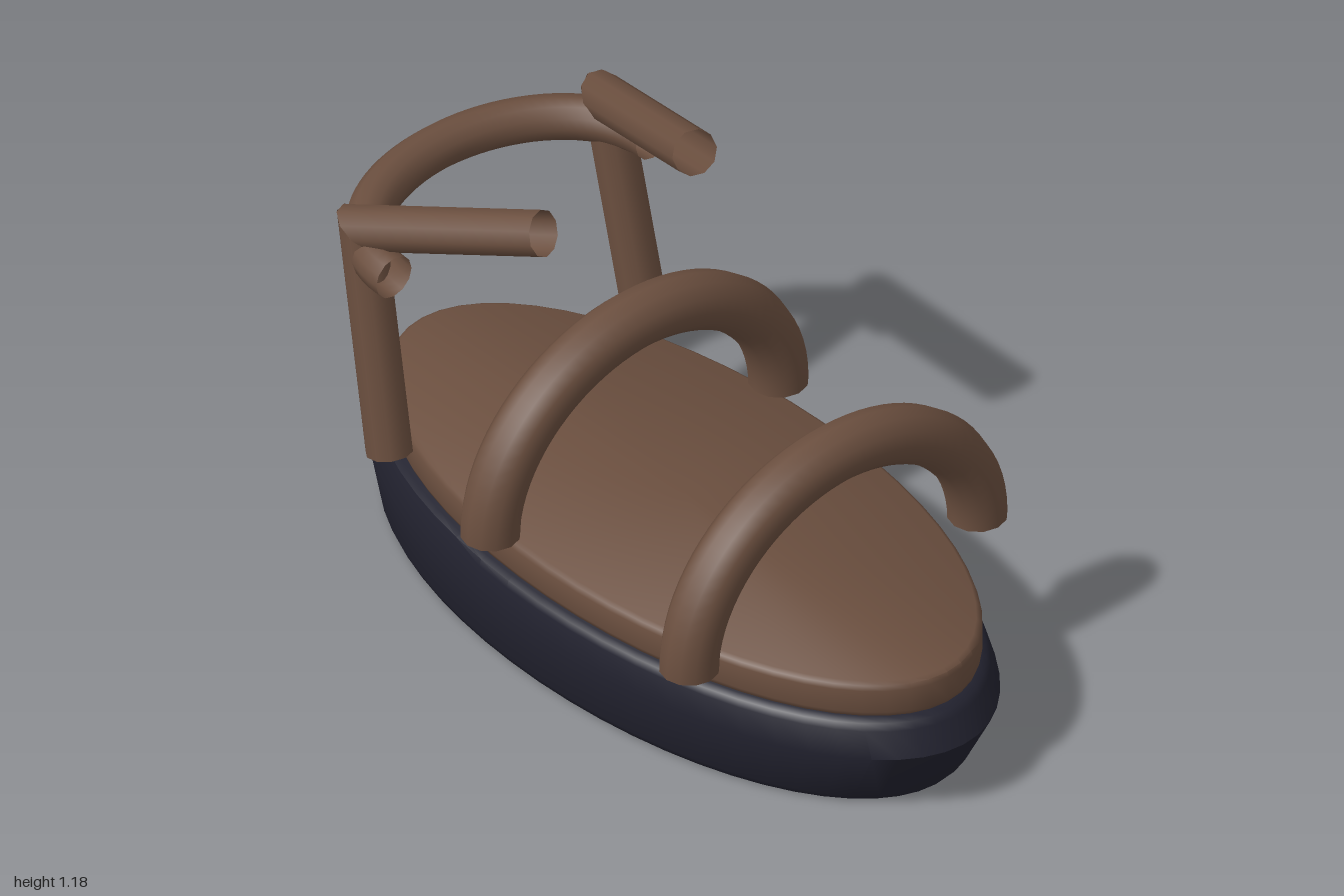
import * as THREE from 'three';
import { toCreasedNormals } from 'three/addons/utils/BufferGeometryUtils.js';

const V = (x, y, z) => new THREE.Vector3(x, y, z);

// Elliptical slab from cross-sections [y, half width, front z, back z]
function ellipseLoft(sections) {
  const first = sections[0], last = sections[sections.length - 1];
  const rings = [[first[0], 0, first[2], first[3]], ...sections, [last[0], 0, last[2], last[3]]];
  const geo = new THREE.LatheGeometry(rings.map(([y, r]) => new THREE.Vector2(r, y)), 56);
  const pos = geo.attributes.position;
  for (let i = 0; i < pos.count; i++) {
    const [, r, front, back] = rings[i % rings.length];
    const unit = r > 0 ? pos.getZ(i) / r : 0;
    pos.setZ(i, (front + back) / 2 + unit * (front - back) / 2);
  }
  return toCreasedNormals(geo, 0.75);
}

// Open tube following half an ellipse, mapped into space by place(cos, sin)
class HalfEllipse extends THREE.Curve {
  constructor(place) { super(); this.place = place; }
  getPoint(t, target = V()) {
    return target.copy(this.place(Math.cos(Math.PI * t), Math.sin(Math.PI * t)));
  }
}
const bandGeometry = (place, radius) =>
  new THREE.TubeGeometry(new HalfEllipse(place), 40, radius, 12, false);

// Open straight tube from a to b, with the end at the joint cut on a mitre plane
function mitredTube(a, b, radius, joint, planeNormal) {
  const dir = b.clone().sub(a);
  const geo = new THREE.CylinderGeometry(radius, radius, dir.length(), 10, 1, true);
  const mid = a.clone().add(b).multiplyScalar(0.5);
  const unit = dir.clone().normalize();
  const top = joint === b;
  const pos = geo.attributes.position;
  const isTop = Array.from({ length: pos.count }, (_, i) => pos.getY(i) > 0);
  geo.applyQuaternion(new THREE.Quaternion().setFromUnitVectors(V(0, 1, 0), unit));
  geo.translate(mid.x, mid.y, mid.z);
  const p = V();
  for (let i = 0; i < pos.count; i++) {
    if (isTop[i] !== top) continue;
    p.fromBufferAttribute(pos, i);
    const slide = -p.clone().sub(joint).dot(planeNormal) / unit.dot(planeNormal);
    p.addScaledVector(unit, slide);
    pos.setXYZ(i, p.x, p.y, p.z);
  }
  return geo;
}

export function createModel() {
  const model = new THREE.Group();
  model.name = 'sandal';
  const leather = new THREE.MeshStandardMaterial({ color: 0x6b4f3f, side: THREE.DoubleSide });
  leather.name = 'brown leather';
  const rubber = new THREE.MeshStandardMaterial({ color: 0x22222f });
  rubber.name = 'dark navy rubber';

  const add = (name, geo, mat, parent = model) => {
    const mesh = new THREE.Mesh(geo, mat);
    mesh.name = name;
    parent.add(mesh);
    return mesh;
  };

  // Sole, flaring to its widest line and rounded at both rims
  add('sole', ellipseLoft([
    [0, 0.42, 0.875, -0.935],
    [0.006, 0.434, 0.9, -0.952],
    [0.025, 0.443, 0.917, -0.962],
    [0.18, 0.47, 1.0, -1.0],
    [0.245, 0.459, 0.969, -0.984],
    [0.262, 0.453, 0.957, -0.978],
    [0.27, 0.438, 0.935, -0.96],
  ]), rubber);

  // Footbed with softened rims
  add('footbed', ellipseLoft([
    [0.268, 0.425, 0.93, -0.92],
    [0.275, 0.435, 0.942, -0.932],
    [0.288, 0.44, 0.946, -0.938],
    [0.35, 0.44, 0.946, -0.938],
    [0.363, 0.435, 0.942, -0.932],
    [0.37, 0.425, 0.93, -0.92],
  ]), leather);

  // Two arched straps over the foot
  for (const [name, z] of [['toeStrap', 0.535], ['instepStrap', -0.175]]) {
    add(name, bandGeometry((c, s) => V(0.457 * c, 0.375 + 0.407 * s, z), 0.073), leather);
  }

  // Band around the heel
  add('heelBand', bandGeometry((c, s) => V(0.412 * c, 0.89, -0.57 - 0.317 * s), 0.056), leather);

  // Ankle straps: a post that bends into a forward arm on each side
  for (const side of [1, -1]) {
    const strap = new THREE.Group();
    strap.name = side > 0 ? 'leftAnkleStrap' : 'rightAnkleStrap';
    const foot = V(0.407 * side, 0.36, -0.592);
    const bend = V(0.387 * side, 0.945, -0.71);
    const tip = V(0.24 * side, 1.125, -0.23);
    const normal = bend.clone().sub(foot).normalize()
      .add(tip.clone().sub(bend).normalize()).normalize();
    add('anklePost', mitredTube(foot, bend, 0.058, bend, normal), leather, strap);
    add('ankleArm', mitredTube(bend, tip, 0.058, bend, normal), leather, strap);
    model.add(strap);
  }
  return model;
}
